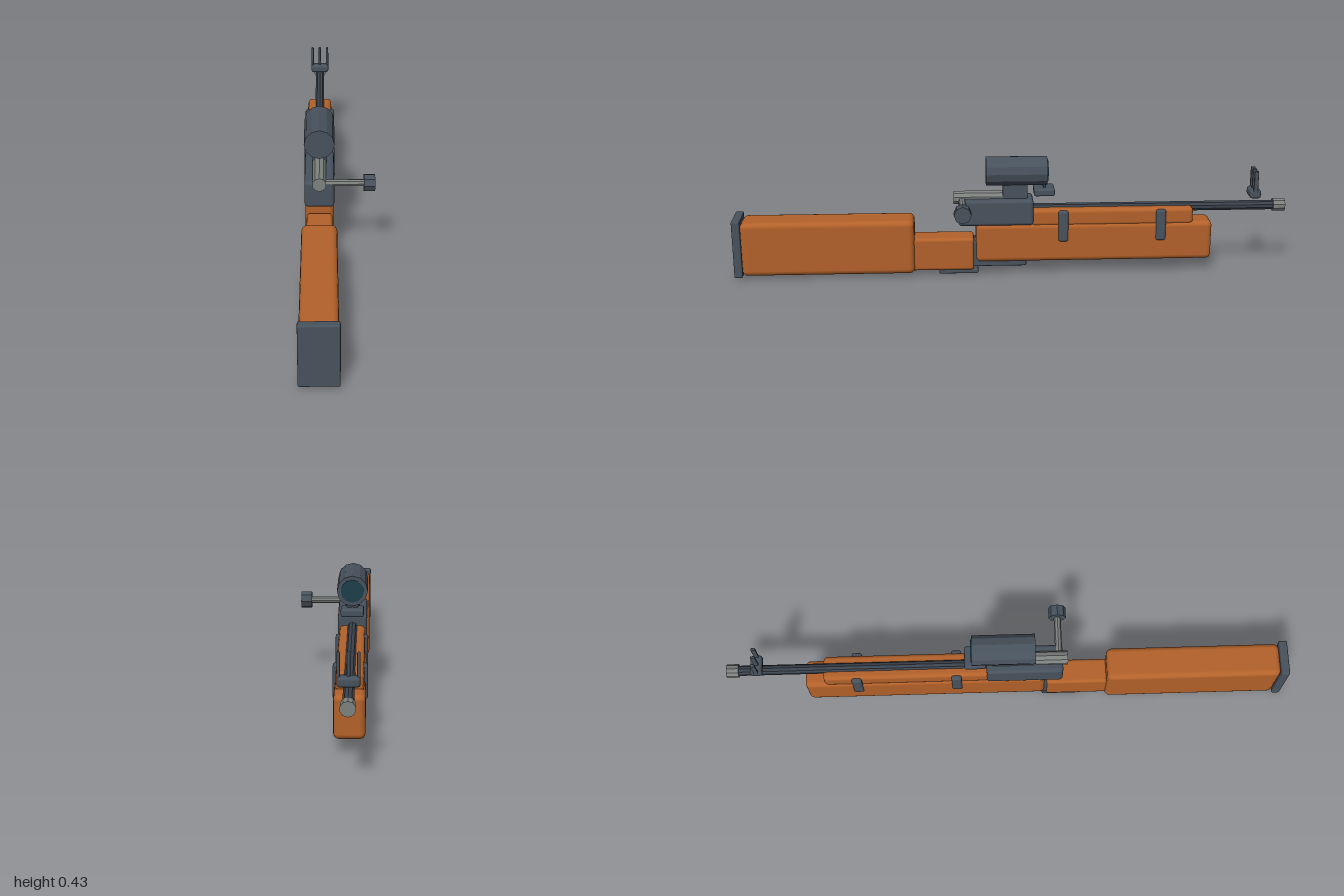
import * as THREE from 'three';
import { RoundedBoxGeometry } from 'three/addons/geometries/RoundedBoxGeometry.js';

const CX = -0.065; // centre line of the rifle

function mat(name, color, flat = false) {
  const m = new THREE.MeshStandardMaterial({ color, flatShading: flat });
  m.name = name;
  return m;
}

export function createModel() {
  const root = new THREE.Group();
  root.name = 'rifle';
  const wood = mat('wood', 0xb4622a);
  const steel = mat('gunmetal', 0x48525d);
  const facetSteel = steel.clone();
  facetSteel.flatShading = true;
  const dark = mat('barrelSteel', 0x3b434d, true);
  const bright = mat('brightSteel', 0x7d827f, true);
  const glass = mat('lensGlass', 0x1d3f4c, true);

  const add = (name, geo, material, x, y, z) => {
    const m = new THREE.Mesh(geo, material);
    m.name = name;
    m.position.set(x, y, z);
    root.add(m);
    return m;
  };
  // Rounded block given by width and its y and z ranges
  const block = (name, material, w, y0, y1, z0, z1, r = 0.006, x = CX) =>
    add(name, new RoundedBoxGeometry(w, y1 - y0, z1 - z0, 2, r), material, x, (y0 + y1) / 2, (z0 + z1) / 2);
  // Cylinder along z between z0 and z1
  const rod = (name, material, r, y, z0, z1, sides) =>
    add(name, new THREE.CylinderGeometry(r, r, z1 - z0, sides).rotateX(Math.PI / 2), material, CX, y, (z0 + z1) / 2);
  // Cylinder along x between x0 and x1
  const crossRod = (name, material, r, x0, x1, y, z, sides) =>
    add(name, new THREE.CylinderGeometry(r, r, x1 - x0, sides).rotateZ(Math.PI / 2), material, (x0 + x1) / 2, y, z);

  // Wooden furniture
  block('buttStock', wood, 0.12, 0.01, 0.212, 0.35, 0.972, 0.02);
  block('wrist', wood, 0.09, 0.017, 0.14, 0.135, 0.37, 0.012);
  block('foreStock', wood, 0.1, 0.048, 0.192, -0.73, 0.128, 0.018);
  block('handguard', wood, 0.09, 0.18, 0.245, -0.66, -0.07, 0.015);
  block('buttPlate', steel, 0.128, 0.007, 0.222, 0.97, 1.0);

  // Receiver and underside metal
  block('receiver', steel, 0.103, 0.187, 0.283, -0.08, 0.19, 0.012);
  block('stockJoint', steel, 0.08, 0.04, 0.125, 0.11, 0.14, 0.005);
  block('triggerGuardPlate', steel, 0.08, 0.003, 0.02, 0.12, 0.262, 0.005);
  block('magazineFloorPlate', steel, 0.08, 0.03, 0.053, -0.055, 0.15, 0.005);
  block('trigger', steel, 0.01, 0, 0.03, 0.14, 0.155, 0.002);
  for (const z of [-0.188, -0.542]) block('barrelBand', steel, 0.112, 0.125, 0.24, z - 0.018, z + 0.018, 0.008);

  // Barrel and muzzle
  rod('barrel', dark, 0.018, 0.238, -0.97, 0, 10);
  rod('muzzle', bright, 0.024, 0.238, -1.0, -0.957, 10);

  // Bolt with handle and knob
  rod('bolt', bright, 0.025, 0.282, -0.02, 0.207, 10);
  crossRod('boltHandle', bright, 0.0125, CX, 0.095, 0.276, 0.176, 8);
  crossRod('boltKnob', facetSteel, 0.031, 0.088, 0.127, 0.276, 0.176, 8);

  // Scope on its mount
  block('scopeMount', steel, 0.05, 0.27, 0.345, -0.06, 0.03, 0.005);
  rod('scopeTube', facetSteel, 0.0535, 0.38, -0.13, 0.09, 12);
  rod('scopeLens', glass, 0.04, 0.38, -0.134, -0.128, 12);

  // Rear peep sight
  block('rearSightBase', steel, 0.08, 0.293, 0.32, -0.157, -0.082, 0.007);
  add('rearSightRing', new THREE.TorusGeometry(0.019, 0.005, 6, 14), steel, CX, 0.336, -0.12);

  // Front sight with three prongs
  block('frontSightBase', steel, 0.07, 0.271, 0.303, -0.907, -0.866, 0.01);
  for (const dx of [-0.03, 0, 0.03]) {
    block('frontSightProng', steel, 0.01, 0.29, 0.375, -0.894, -0.878, 0.003, CX + dx);
  }
  return root;
}
